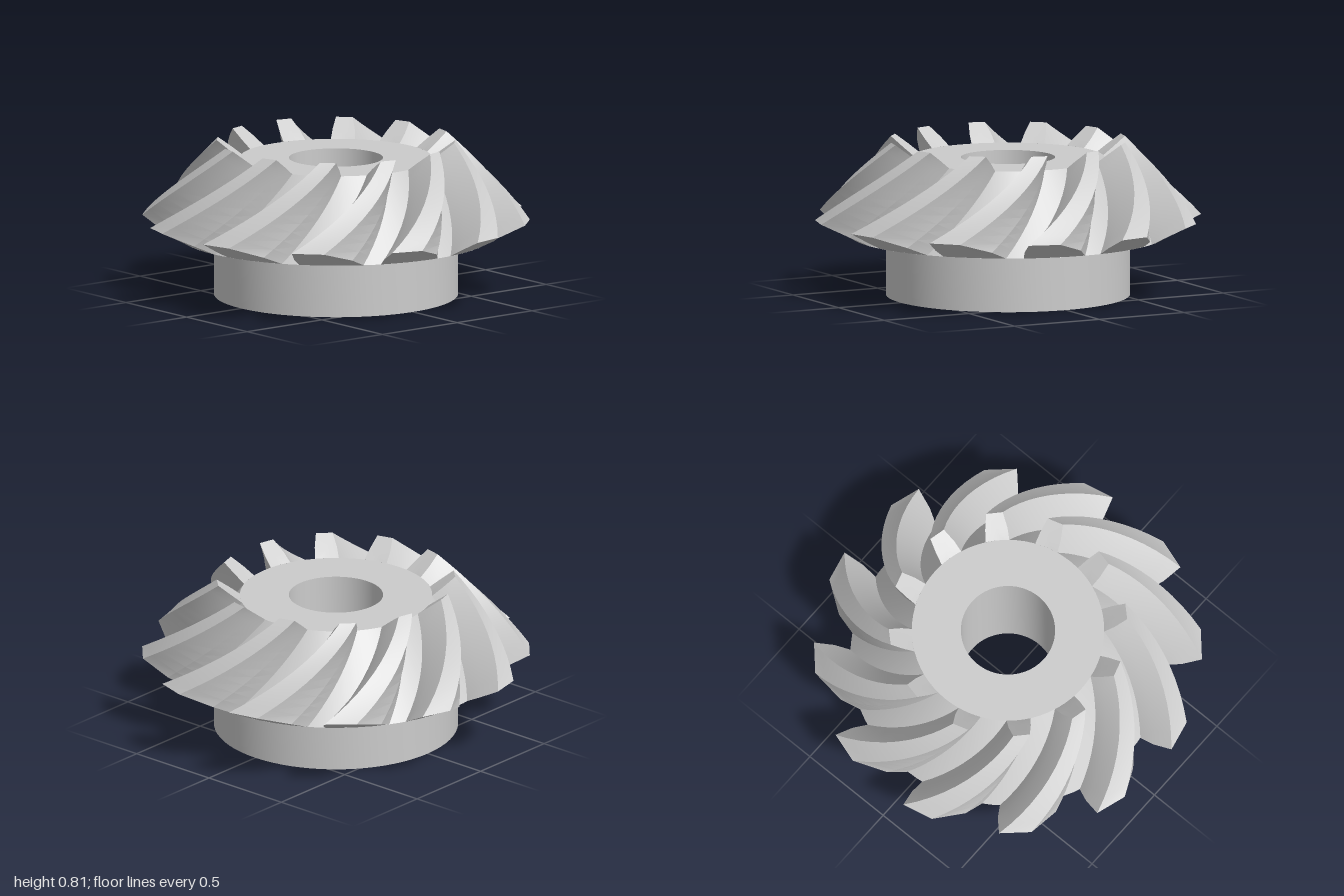
import * as THREE from 'three';
import { toCreasedNormals } from 'three/addons/utils/BufferGeometryUtils.js';

const TEETH = 12;
const ROWS = 10;
const rad = THREE.MathUtils.degToRad;
const mix = THREE.MathUtils.lerp;

// Root cone and tip cone: [radius, y] at the outer and the inner end
const ROOT = [[0.82, 0.31], [0.5, 0.72]];
const TIP = [[1.009, 0.405], [0.62, 0.813]];

// Tooth section: [height 0 root .. 1 tip, angle at outer end, angle at inner end]
const SECTION = [
  [0, 247.5, 279.6],
  [0.45, 247.1, 280.8],
  [1, 247.8, 283],
  [1, 257.4, 291],
  [0.45, 266.4, 292.8],
  [0, 271, 294],
  [0, 265, 290.4],
  [0, 259, 286.8],
  [0, 253, 283.2],
];

function toothGeometry() {
  const n = SECTION.length;
  const pos = [];
  const index = [];
  for (let row = 0; row <= ROWS; row++) {
    const t = row / ROWS;
    for (const [h, outer, inner] of SECTION) {
      const a = rad(mix(outer, inner, t));
      const r = mix(mix(ROOT[0][0], ROOT[1][0], t), mix(TIP[0][0], TIP[1][0], t), h);
      const y = mix(mix(ROOT[0][1], ROOT[1][1], t), mix(TIP[0][1], TIP[1][1], t), h);
      pos.push(r * Math.cos(a), y, -r * Math.sin(a));
    }
  }
  // skin between neighbouring sections
  for (let row = 0; row < ROWS; row++) {
    for (let k = 0; k < n; k++) {
      const a = row * n + k;
      const b = row * n + (k + 1) % n;
      index.push(a, b, b + n, a, b + n, a + n);
    }
  }
  // end faces, fanned around their middle
  for (const row of [0, ROWS]) {
    const c = pos.length / 3;
    const mid = [0, 0, 0];
    for (let k = 0; k < n; k++) {
      for (let d = 0; d < 3; d++) mid[d] += pos[(row * n + k) * 3 + d] / n;
    }
    pos.push(...mid);
    for (let k = 0; k < n; k++) {
      const a = row * n + k;
      const b = row * n + (k + 1) % n;
      if (row === 0) index.push(c, b, a);
      else index.push(c, a, b);
    }
  }
  const g = new THREE.BufferGeometry();
  g.setAttribute('position', new THREE.Float32BufferAttribute(pos, 3));
  g.setIndex(index);
  return toCreasedNormals(g, rad(22));
}

export function createModel() {
  const gear = new THREE.Group();
  gear.name = 'spiralBevelGear';
  const material = new THREE.MeshStandardMaterial({ color: 0xcccccc });

  // Hub, cone and bore in one turned profile
  const profile = [
    [0.245, 0], [0.635, 0], [0.635, 0.31], [0.82, 0.31],
    [0.5, 0.72], [0.245, 0.72], [0.245, 0],
  ].map(([r, y]) => new THREE.Vector2(r, y));
  const body = new THREE.Mesh(
    toCreasedNormals(new THREE.LatheGeometry(profile, 72), rad(30)), material);
  body.name = 'hubAndCone';
  gear.add(body);

  // Curved teeth around the cone
  const teeth = new THREE.Group();
  teeth.name = 'teeth';
  const geometry = toothGeometry();
  for (let i = 0; i < TEETH; i++) {
    const tooth = new THREE.Mesh(geometry, material);
    tooth.name = 'tooth' + (i + 1);
    tooth.rotation.y = (i / TEETH) * Math.PI * 2;
    teeth.add(tooth);
  }
  gear.add(teeth);
  return gear;
}
